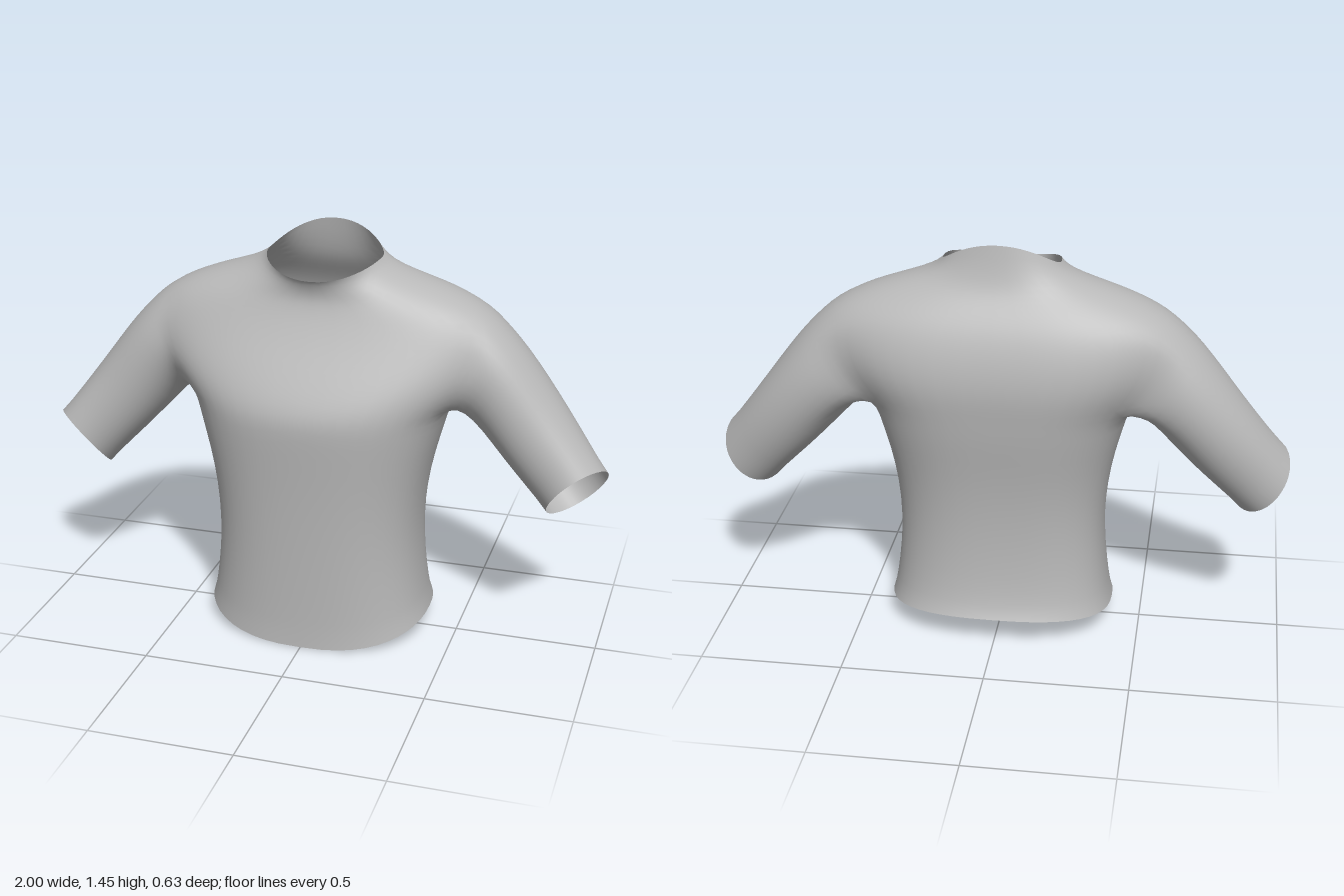
import * as THREE from 'three';
import { mergeGeometries, mergeVertices } from 'three/addons/utils/BufferGeometryUtils.js';

// Torso rings from hem to collar:
// half width, side y, side z, front z, front y, back z, back y, roundness
const RINGS = [
  [0.40, 0.08, 0, 0.29, 0, -0.295, 0.11, 0.8],
  [0.38, 0.20, 0, 0.29, 0.15, -0.27, 0.2, 0.8],
  [0.365, 0.40, 0, 0.295, 0.38, -0.26, 0.4, 0.8],
  [0.385, 0.60, 0, 0.305, 0.6, -0.275, 0.6, 0.8],
  [0.43, 0.77, -0.01, 0.32, 0.79, -0.305, 0.77, 0.8],
  [0.46, 0.87, -0.02, 0.318, 0.88, -0.318, 0.87, 0.8],
  [0.55, 0.98, -0.03, 0.268, 0.98, -0.328, 0.97, 0.8],
  [0.60, 1.08, -0.04, 0.21, 1.08, -0.315, 1.07, 0.8],
  [0.61, 1.17, -0.05, 0.17, 1.16, -0.285, 1.16, 0.85],
  [0.50, 1.24, -0.05, 0.15, 1.21, -0.25, 1.22, 0.85],
  [0.38, 1.285, -0.05, 0.143, 1.245, -0.215, 1.27, 0.9],
  [0.25, 1.325, -0.04, 0.15, 1.28, -0.185, 1.33, 0.95],
  [0.20, 1.36, -0.03, 0.165, 1.31, -0.157, 1.445, 0.95],
];
// Sleeve sections: centre, upward half axis, forward half axis
const SLEEVE = [
  [[0.60, 0.955, -0.05], [0.10, 0.125, 0], [-0.02, 0.03, 0.17]],
  [[0.75, 0.775, -0.033], [0.10, 0.105, 0], [-0.03, 0.04, 0.15]],
  [[0.905, 0.595, 0.01], [0.09, 0.09, 0], [-0.035, 0.055, 0.12]],
].map((s) => s.map((v) => new THREE.Vector3(...v)));

const SUB = 3;                     // rows between two rings
const HALF = 12;                   // columns from side to centre line
const HOLE = 4;                    // armhole half width in columns
const LOW = 5 * SUB, HIGH = 8 * SUB; // armhole rows
const ROWS = (RINGS.length - 1) * SUB;
const STEPS = 12;                  // rows along a sleeve

function ringAt(row) {
  const i = Math.min(Math.floor(row / SUB), RINGS.length - 2);
  const t = row / SUB - i;
  const at = (k) => RINGS[Math.max(0, Math.min(RINGS.length - 1, k))];
  return RINGS[0].map((_, j) => {
    const [a, b, c, d] = [at(i - 1)[j], at(i)[j], at(i + 1)[j], at(i + 2)[j]];
    return b + 0.5 * t * (c - a + t * (2 * a - 5 * b + 4 * c - d + t * (3 * (b - c) + d - a)));
  });
}

function torsoPoint(row, col) {
  const [w, yS, zS, zF, yF, zB, yB, e] = ringAt(row);
  const angle = (col / HALF) * Math.PI / 2;
  const s = Math.pow(Math.abs(Math.sin(angle)), e);
  const x = Math.abs(col) === HALF ? 0 : w * Math.pow(Math.cos(angle), e);
  const front = col > 0;
  let z = zS + s * ((front ? zF : zB) - zS);
  // shallow groove along the spine
  if (!front) z *= 1 - 0.06 * Math.exp(-((x / 0.12) ** 2)) * Math.sin(Math.PI * row / ROWS);
  return new THREE.Vector3(x, yS + s * s * ((front ? yF : yB) - yS), z);
}

// Grid of points to triangles, leaving out cells where skip is true
function gridGeometry(grid, skip = () => false) {
  const n = grid[0].length, index = [];
  for (let r = 0; r < grid.length - 1; r++) {
    for (let c = 0; c < n - 1; c++) {
      if (skip(r, c)) continue;
      const a = r * n + c, b = a + n;
      index.push(a, b, a + 1, b, b + 1, a + 1);
    }
  }
  return new THREE.BufferGeometry().setFromPoints(grid.flat()).setIndex(index);
}

function torsoHalf() {
  const grid = [];
  for (let r = 0; r <= ROWS; r++) {
    grid.push([]);
    for (let c = -HALF; c <= HALF; c++) grid[r].push(torsoPoint(r, c));
  }
  return gridGeometry(grid, (r, c) =>
    r >= LOW && r < HIGH && c >= HALF - HOLE && c < HALF + HOLE);
}

function sleeve() {
  // armhole edge, from the front upwards and over to the back
  const loop = [];
  for (let r = LOW; r < HIGH; r++) loop.push([r, HOLE]);
  for (let c = HOLE; c > -HOLE; c--) loop.push([HIGH, c]);
  for (let r = HIGH; r > LOW; r--) loop.push([r, -HOLE]);
  for (let c = -HOLE; c <= HOLE; c++) loop.push([LOW, c]);
  const lines = loop.map(([r, c]) => {
    const phi = Math.atan2((r - (LOW + HIGH) / 2) / ((HIGH - LOW) / 2), c / HOLE);
    const points = SLEEVE.map(([centre, up, fwd]) => centre.clone()
      .addScaledVector(up, Math.sin(phi)).addScaledVector(fwd, Math.cos(phi)));
    return new THREE.CatmullRomCurve3([torsoPoint(r, c), ...points]).getPoints(STEPS);
  });
  return gridGeometry(lines[0].map((_, s) => lines.map((line) => line[s])));
}

function mirrored(geometry) {
  const copy = geometry.clone().scale(-1, 1, 1);
  copy.setIndex(Array.from(copy.index.array).reverse());
  return copy;
}

// Relax the cloth, keeping the open edges in place
function relax(geometry, passes) {
  const pos = geometry.attributes.position, idx = geometry.index.array;
  const near = Array.from({ length: pos.count }, () => new Map());
  const link = (a, b) => near[a].set(b, (near[a].get(b) || 0) + 1);
  for (let i = 0; i < idx.length; i += 3) {
    for (let k = 0; k < 3; k++) {
      const a = idx[i + k], b = idx[i + (k + 1) % 3];
      link(a, b);
      link(b, a);
    }
  }
  const fixed = near.map((m) => [...m.values()].some((uses) => uses === 1));
  for (let p = 0; p < passes; p++) {
    const old = Float32Array.from(pos.array);
    near.forEach((m, i) => {
      if (fixed[i] || m.size === 0) return;
      for (let k = 0; k < 3; k++) {
        let sum = 0;
        for (const j of m.keys()) sum += old[j * 3 + k];
        pos.array[i * 3 + k] = 0.5 * old[i * 3 + k] + 0.5 * sum / m.size;
      }
    });
  }
}

export function createModel() {
  const group = new THREE.Group();
  group.name = 'shirt';
  const cloth = new THREE.MeshStandardMaterial({ color: 0xb8b8b8, side: THREE.DoubleSide });
  cloth.name = 'grey cloth';

  // torso and both sleeves welded into one smooth surface
  const parts = [torsoHalf(), sleeve()];
  const geometry = mergeVertices(mergeGeometries([...parts, ...parts.map(mirrored)]), 1e-4);
  relax(geometry, 4);
  geometry.computeVertexNormals();

  const shirt = new THREE.Mesh(geometry, cloth);
  shirt.name = 'shirtBodyAndSleeves';
  group.add(shirt);
  return group;
}
